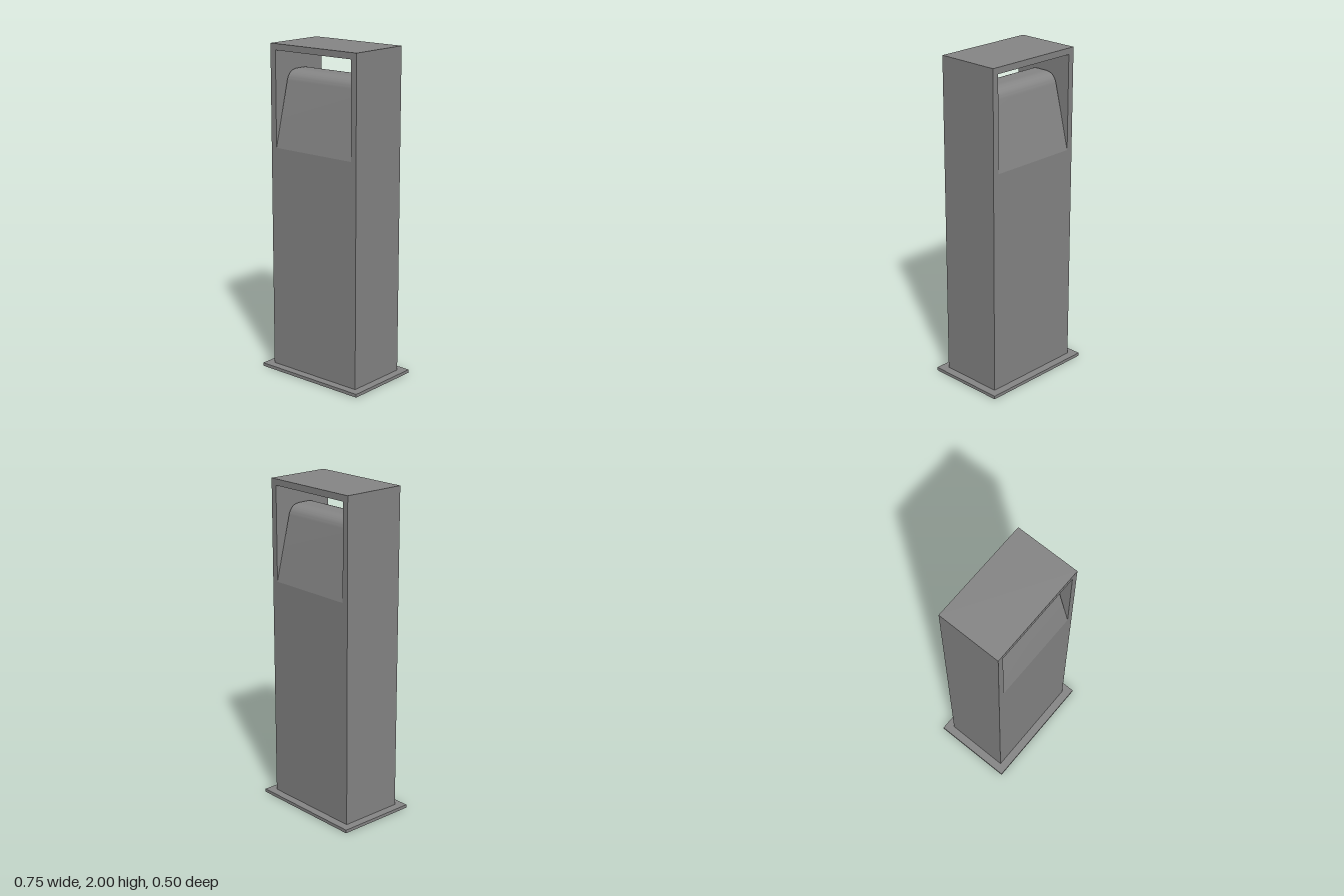
import * as THREE from 'three';
import { toCreasedNormals } from 'three/addons/utils/BufferGeometryUtils.js';

const material = new THREE.MeshStandardMaterial({ color: 0x868686 });

function addMesh(group, name, geometry) {
  const mesh = new THREE.Mesh(geometry, material);
  mesh.name = name;
  group.add(mesh);
}

export function createModel() {
  const group = new THREE.Group();
  group.name = 'bollard';
  const sillY = 1.385, humpTop = 1.84, windowHalf = 0.286;

  // Flat mounting plate
  addMesh(group, 'basePlate', new THREE.BoxGeometry(0.75, 0.02, 0.5).translate(0, 0.01, 0));

  // Rectangular column with the window cut through near its top
  const outline = new THREE.Shape([
    [-0.325, 0.02], [0.325, 0.02], [0.325, 2], [-0.325, 2],
  ].map(([x, y]) => new THREE.Vector2(x, y)));
  outline.holes.push(new THREE.Path([
    [-windowHalf, sillY], [-windowHalf, 1.962], [windowHalf, 1.962], [windowHalf, sillY],
  ].map(([x, y]) => new THREE.Vector2(x, y))));
  const column = new THREE.ExtrudeGeometry(outline, { depth: 0.4, bevelEnabled: false });
  addMesh(group, 'column', column.translate(0, 0, -0.2));

  // Sloping reflector in the window: a trapezoid with rounded top corners
  const profile = new THREE.Shape();
  profile.moveTo(-0.2, sillY);
  profile.lineTo(0.2, sillY);
  profile.lineTo(0.114, 1.775);
  profile.quadraticCurveTo(0.1, humpTop, 0.03, humpTop);
  profile.lineTo(-0.03, humpTop);
  profile.quadraticCurveTo(-0.1, humpTop, -0.114, 1.775);
  profile.closePath();
  const hump = new THREE.ExtrudeGeometry(profile, { depth: 0.58, bevelEnabled: false, curveSegments: 16 });
  hump.translate(0, 0, -0.29).rotateY(Math.PI / 2);

  // Narrow the reflector towards its top
  const pos = hump.attributes.position;
  for (let i = 0; i < pos.count; i++) {
    const t = (pos.getY(i) - sillY) / (humpTop - sillY);
    pos.setX(i, Math.sign(pos.getX(i)) * (windowHalf - 0.012 * t));
  }
  addMesh(group, 'reflector', toCreasedNormals(hump, 0.6));

  return group;
}
